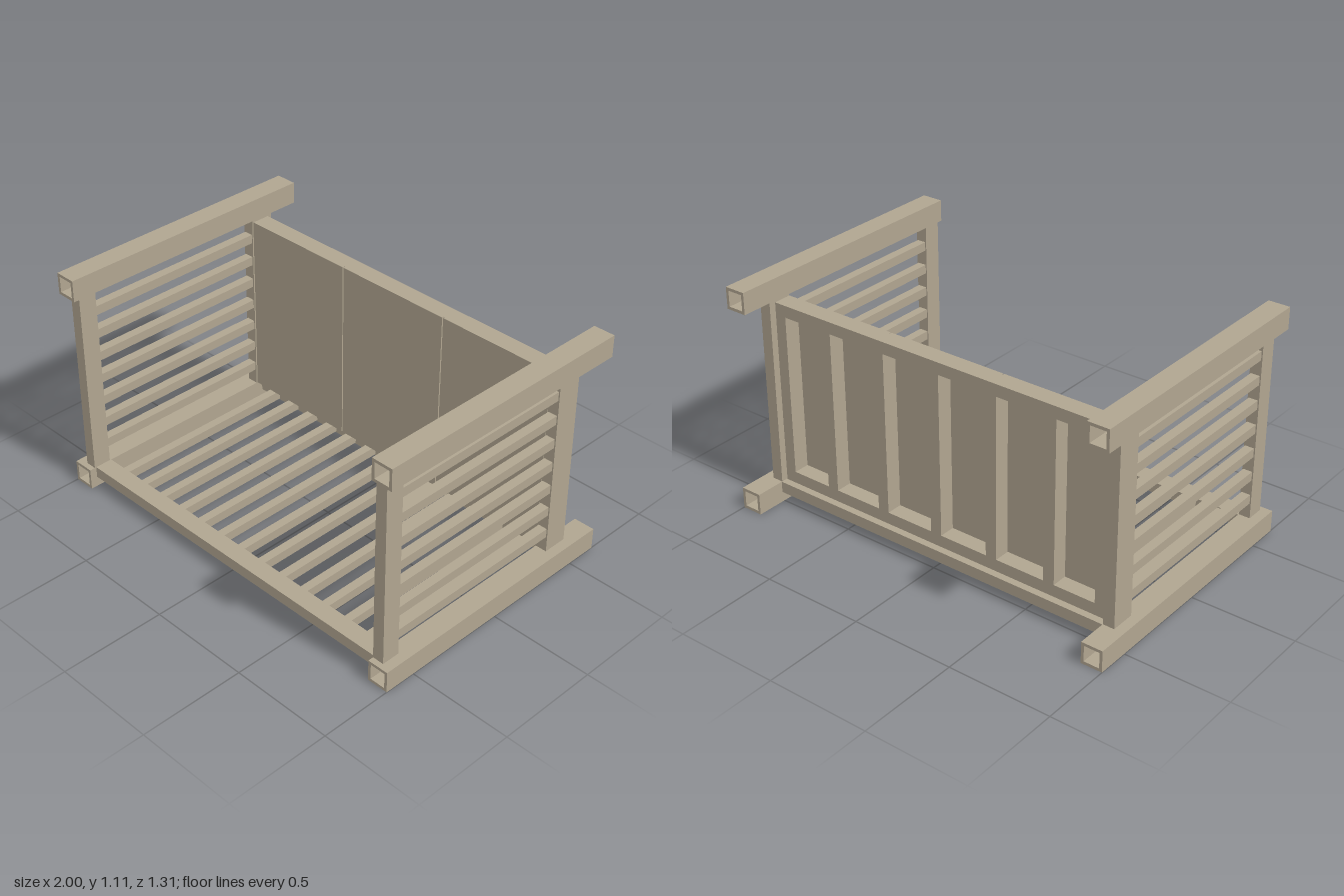
import * as THREE from 'three';

export function createModel() {
  const model = new THREE.Group();
  model.name = 'slattedBench';
  const paint = new THREE.MeshStandardMaterial({ color: 0xb0a590 });
  paint.name = 'taupe paint';

  // Box given by its lower and upper limits on each axis
  function bar(name, [x0, x1], [y0, y1], [z0, z1], parent = model) {
    const mesh = new THREE.Mesh(new THREE.BoxGeometry(x1 - x0, y1 - y0, z1 - z0), paint);
    mesh.position.set((x0 + x1) / 2, (y0 + y1) / 2, (z0 + z1) / 2);
    mesh.name = name;
    parent.add(mesh);
    return mesh;
  }

  // Hollow square tube running front to back
  const TUBE = 0.104, WALL = 0.014, LENGTH = 1.31;
  const square = (half, path) => path
    .moveTo(-half, -half).lineTo(half, -half).lineTo(half, half).lineTo(-half, half).closePath();
  const section = square(TUBE / 2, new THREE.Shape());
  section.holes.push(square(TUBE / 2 - WALL, new THREE.Path()));
  const tubeGeometry = new THREE.ExtrudeGeometry(section, { depth: LENGTH, bevelEnabled: false });
  tubeGeometry.translate(0, 0, -LENGTH / 2);

  // Two end frames: tubes, posts and horizontal slats
  for (const side of [-1, 1]) {
    const end = new THREE.Group();
    end.name = side > 0 ? 'leftEnd' : 'rightEnd';
    model.add(end);
    for (const [name, y] of [['footTube', 0.052], ['armTube', 1.058]]) {
      const tube = new THREE.Mesh(tubeGeometry, paint);
      tube.name = name;
      tube.position.set(side * 0.948, y, 0);
      end.add(tube);
    }
    const across = (a, b) => (side > 0 ? [a, b] : [-b, -a]);
    bar('frontPost', across(0.896, 0.952), [0.104, 1.006], [0.54, 0.628], end);
    bar('backPost', across(0.896, 0.952), [0.104, 1.006], [-0.506, -0.386], end);
    for (let i = 0; i < 7; i++) {
      const y = 0.201 + i * 0.1182;
      bar('sideSlat', across(0.902, 0.946), [y - 0.022, y + 0.022], [-0.386, 0.54], end);
    }
  }

  // Base rails and floor slats
  bar('frontRail', [-0.896, 0.896], [0.05, 0.105], [0.533, 0.62]);
  bar('backRail', [-0.896, 0.896], [0.05, 0.105], [-0.51, -0.422]);
  for (let i = -6; i <= 6; i++) {
    const x = i * 0.1312;
    bar('floorSlat', [x - 0.021, x + 0.021], [0.056, 0.1], [-0.422, 0.533]);
  }

  // Back rest: frame with studs behind three thin sheets
  const back = new THREE.Group();
  back.name = 'backRest';
  model.add(back);
  const depth = [-0.478, -0.4];
  bar('lowerFrameRail', [-0.89, 0.89], [0.107, 0.165], depth, back);
  bar('upperFrameRail', [-0.89, 0.89], [0.945, 1.002], depth, back);
  for (const x of [-0.862, -0.6, -0.3, 0, 0.3, 0.6, 0.862]) {
    bar('stud', [x - 0.028, x + 0.028], [0.165, 0.945], depth, back);
  }
  for (const [x0, x1] of [[-0.892, -0.303], [-0.297, 0.297], [0.303, 0.892]]) {
    bar('backSheet', [x0, x1], [0.107, 1.002], [-0.4, -0.389], back);
  }

  return model;
}
